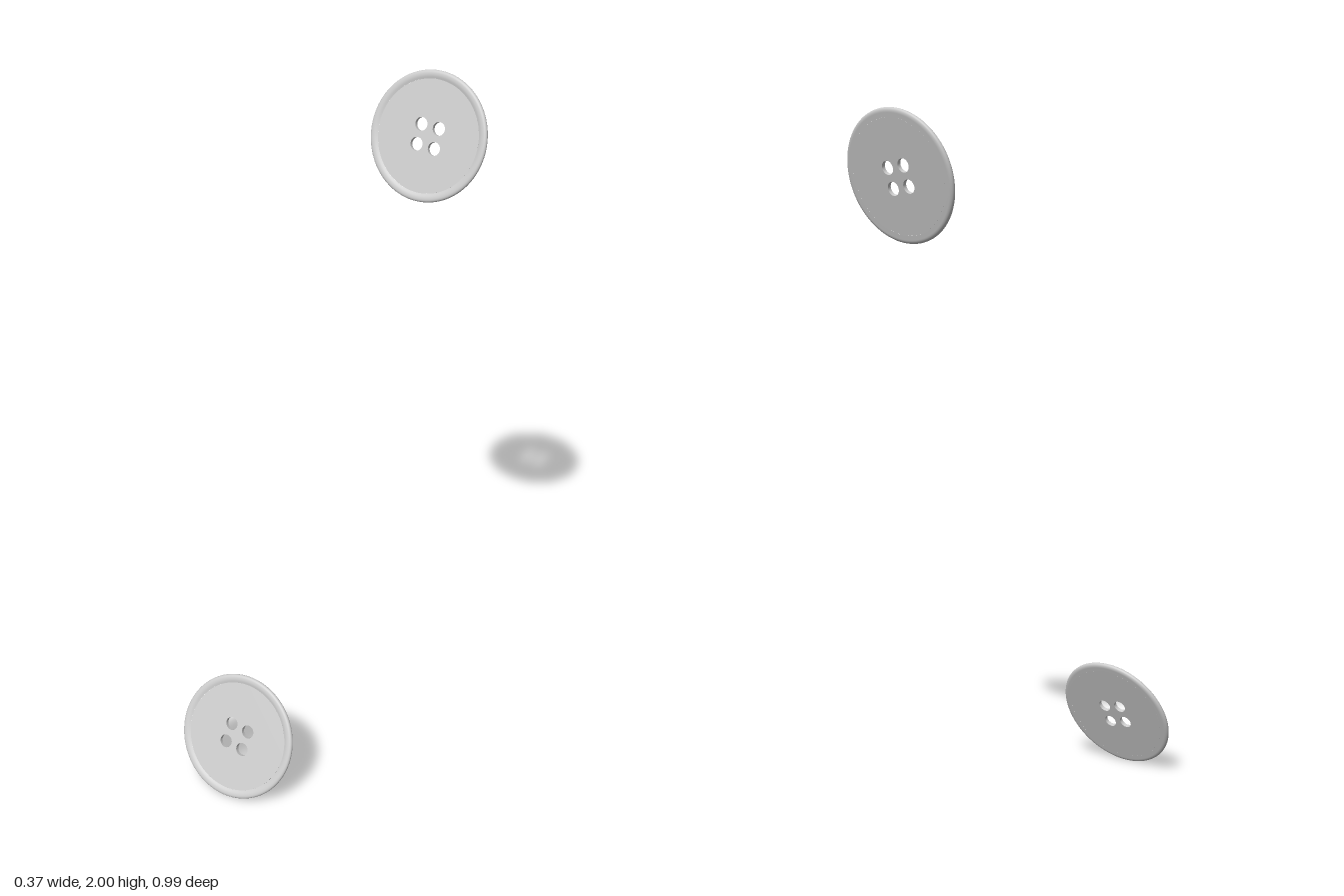
import * as THREE from 'three';

const RADIUS = 0.187, PLATE = 0.162, HOLE = 0.0195, SPACING = 0.029;
const BACK = -0.008, FRONT = 0.004, LIP = 0.008;

const material = new THREE.MeshStandardMaterial({ color: 0xcccccc });

// Flat middle of a button, pierced by four thread holes
function makePlate() {
  const shape = new THREE.Shape().absarc(0, 0, PLATE, 0, Math.PI * 2, false);
  for (const x of [-SPACING, SPACING])
    for (const y of [-SPACING, SPACING])
      shape.holes.push(new THREE.Path().absarc(x, y, HOLE, 0, Math.PI * 2, true));
  const geometry = new THREE.ExtrudeGeometry(shape, {
    depth: FRONT - BACK, bevelEnabled: false, curveSegments: 32,
  });
  geometry.translate(0, 0, BACK);
  const plate = new THREE.Mesh(geometry, material);
  plate.name = 'plate';
  return plate;
}

// Rounded outer edge with a slightly raised front lip
function makeRim() {
  const profile = new THREE.Path();
  profile.moveTo(PLATE, BACK);
  profile.lineTo(0.175, BACK);
  profile.bezierCurveTo(0.182, BACK, RADIUS, -0.005, RADIUS, 0);
  profile.bezierCurveTo(RADIUS, 0.005, 0.183, LIP, 0.177, LIP);
  profile.bezierCurveTo(0.170, LIP, 0.167, 0.006, PLATE, FRONT);
  const geometry = new THREE.LatheGeometry(profile.getPoints(8), 96);
  geometry.rotateX(Math.PI / 2);
  const rim = new THREE.Mesh(geometry, material);
  rim.name = 'rim';
  return rim;
}

// One button, facing along (nx, ny, nz), its hole rows sloping by roll
function makeButton(name, position, nx, ny, roll) {
  const button = new THREE.Group();
  button.name = name;
  button.add(makePlate(), makeRim());

  const normal = new THREE.Vector3(nx, ny, Math.sqrt(1 - nx * nx - ny * ny));
  const across = new THREE.Vector3(1, roll, -(nx + ny * roll) / normal.z).normalize();
  const up = new THREE.Vector3().crossVectors(normal, across);
  button.quaternion.setFromRotationMatrix(new THREE.Matrix4().makeBasis(across, up, normal));
  button.position.set(...position);
  return button;
}

export function createModel() {
  const model = new THREE.Group();
  model.name = 'buttons';
  model.add(
    makeButton('upperButton', [0.001, 1.823, -0.431], 0.15, 0.28, -0.09),
    makeButton('lowerButton', [-0.002, 0.174, 0.411], 0.18, 0.385, -0.13),
  );
  return model;
}
